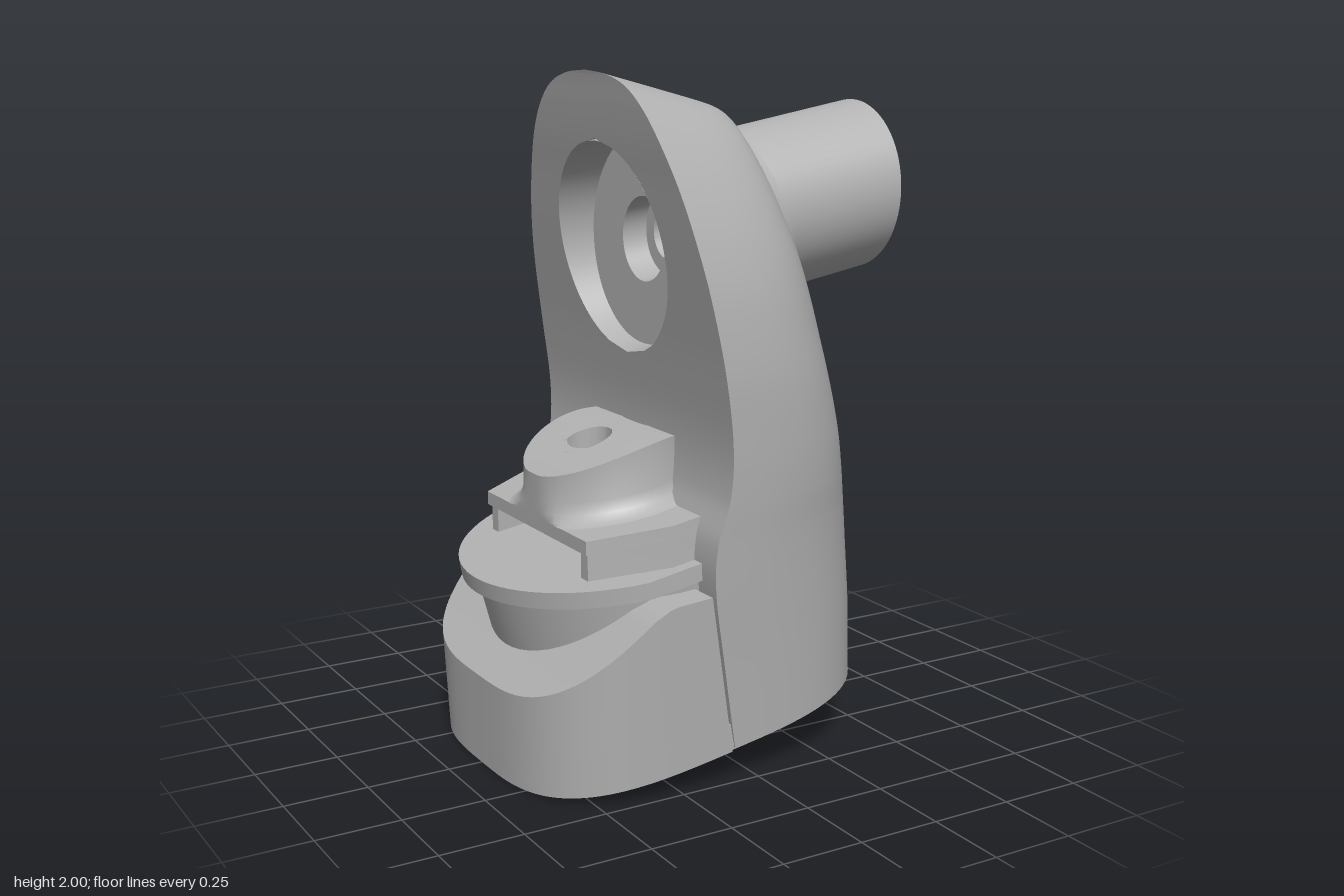
import * as THREE from 'three';
import { toCreasedNormals } from 'three/addons/utils/BufferGeometryUtils.js';

const TILT = 0.175; // slope of the base plane, flange and spindle axis
const baseY = (x) => 0.2 + (x - 0.505) * TILT;
const axisY = (x) => 1.64 + (x - 0.65) * TILT;
const faceX = (y) => -0.15 - 0.17 * (y - 1.2);
const spow = (v, e) => Math.sign(v) * Math.pow(Math.abs(v), e);
const BODY_E = 2 / 2.9, FOOT_E = 2 / 3.3; // roundness of the footprint halves

// Skin a list of equally long point rows
function loft(rows, crease = 0.6) {
  const n = rows[0].length, index = [];
  for (let i = 0; i < rows.length - 1; i++) {
    for (let j = 0; j < n - 1; j++) {
      const a = i * n + j, b = a + 1, c = a + n, d = c + 1;
      index.push(a, c, b, b, c, d);
    }
  }
  const geo = new THREE.BufferGeometry();
  geo.setAttribute('position', new THREE.Float32BufferAttribute(rows.flat(2), 3));
  geo.setIndex(index);
  return toCreasedNormals(geo, crease);
}

// Move every vertex by a rule
function warp(geo, rule) {
  const p = geo.attributes.position, v = new THREE.Vector3();
  for (let i = 0; i < p.count; i++) {
    v.fromBufferAttribute(p, i);
    rule(v);
    p.setXYZ(i, v.x, v.y, v.z);
  }
  return toCreasedNormals(geo, 0.6);
}

const points2 = (list) => list.map(([a, b]) => new THREE.Vector2(a, b));

export function createModel() {
  const group = new THREE.Group();
  const grey = new THREE.MeshStandardMaterial({ color: 0xb2b2b2, side: THREE.DoubleSide });
  grey.name = 'plain grey';
  const add = (name, geo) => {
    const mesh = new THREE.Mesh(geo, grey);
    mesh.name = name;
    group.add(mesh);
  };

  // Upright housing: [height at flat face, x of face, half width, height at rounded side, x of rounded side]
  const stations = [
    [0.1, -0.08, 0.5, 0.2, 0.505], [0.35, -0.125, 0.515, 0.42, 0.495],
    [0.58, -0.165, 0.53, 0.62, 0.475], [0.72, -0.165, 0.538, 0.74, 0.46],
    [0.85, -0.13, 0.545, 0.85, 0.44], [1.0, -0.125, 0.55, 0.98, 0.415],
    [1.2, -0.15, 0.55, 1.15, 0.37], [1.4, -0.184, 0.53, 1.31, 0.325],
    [1.55, -0.21, 0.495, 1.45, 0.275], [1.69, -0.233, 0.443, 1.58, 0.22],
    [1.81, -0.254, 0.378, 1.7, 0.172], [1.9, -0.267, 0.306, 1.795, 0.135],
    [1.96, -0.274, 0.222, 1.86, 0.113], [1.99, -0.278, 0.118, 1.89, 0.104],
    [2.0, -0.28, 0, 1.9, 0.1],
  ];
  const curve = (f) => new THREE.CatmullRomCurve3(stations.map(f), false, 'catmullrom');
  const faceCurve = curve((s) => new THREE.Vector3(s[1], s[0], s[2]));
  const sideCurve = curve((s) => new THREE.Vector3(s[4], s[3], 0));
  const shell = [], leftHalf = [], rightHalf = [];
  const ROWS = 140, SEG = 48, RECESS = 0.31, recessY = axisY(-0.2);
  for (let i = 0; i <= ROWS; i++) {
    const t = i / ROWS, f = faceCurve.getPoint(t), s = sideCurve.getPoint(t);
    const w = Math.max(f.z, 0), row = [];
    const e = 1 / (1 / BODY_E + 1.3 * THREE.MathUtils.smoothstep(t, 0.45, 0.9)); // boxier towards the top
    for (let j = 0; j <= SEG; j++) {
      const a = (j / SEG - 0.5) * Math.PI;
      const k = Math.pow(Math.max(Math.cos(a), 0), e);
      row.push([f.x + (s.x - f.x) * k, f.y + (s.y - f.y) * k, w * spow(Math.sin(a), e)]);
    }
    shell.push(row);
    // flat face is split around the round recess
    const h = Math.min(w, Math.sqrt(Math.max(0, RECESS ** 2 - (f.y - recessY) ** 2)));
    leftHalf.push([[f.x, f.y, h], [f.x, f.y, w]]);
    rightHalf.push([[f.x, f.y, -w], [f.x, f.y, -h]]);
  }
  add('housingShell', loft(shell));
  add('housingFaceLeft', loft(leftHalf));
  add('housingFaceRight', loft(rightHalf));

  // Spindle tube with through bore, counterbore and recess, sheared along its axis
  const profile = [
    [RECESS, -0.4], [RECESS, -0.09], [0.125, -0.09], [0.125, -0.01], [0.08, -0.01],
    [0.08, 0.65], [0.258, 0.65], [0.258, 0.15],
  ];
  const tube = new THREE.LatheGeometry(points2(profile), 64);
  tube.rotateZ(-Math.PI / 2);
  add('spindleTube', warp(tube, (v) => {
    const rim = v.x < -0.35;
    v.y += rim ? recessY : axisY(v.x);
    if (rim) v.x = faceX(v.y);
  }));

  // Blend between tube and housing, slanted to follow the housing
  const flare = [[0.258, 0.27], [0.262, 0.235], [0.274, 0.205], [0.292, 0.175], [0.305, 0.1]];
  const blend = new THREE.LatheGeometry(points2(flare), 64);
  blend.rotateZ(-Math.PI / 2);
  add('tubeBlend', warp(blend, (v) => {
    v.x -= v.y * 0.33 + 0.25 * v.z ** 2;
    v.y += axisY(v.x);
  }));

  // Foot: rounded block with a sloping top, leaning along the seam
  const ramp = [[-0.645, 0.275], [-0.3, 0.53], [-0.23, 0.565], [-0.09, 0.575]];
  const rampY = (x) => {
    const i = Math.max(1, ramp.findIndex((p) => p[0] >= x));
    const [x0, y0] = ramp[i - 1], [x1, y1] = ramp[i];
    return y0 + (y1 - y0) * (x - x0) / (x1 - x0);
  };
  const footRows = [];
  for (let i = 0; i <= 40; i++) {
    const a = (i / 40) * Math.PI / 2, k = Math.pow(Math.max(Math.cos(a), 0), FOOT_E);
    const x = -0.092 - 0.553 * k, w = 0.5 * Math.pow(Math.sin(a), FOOT_E);
    const lean = 0.035 + 0.14 * (1 - k);
    const at = (y, z) => [x - (y - baseY(x)) * lean, y, z * (1 + 0.1 * y)];
    footRows.push([at(baseY(x), -w), at(rampY(x), -w), at(rampY(x), w), at(baseY(x), w)]);
  }
  footRows.push(Array(4).fill([-0.13, 0.33, 0]));
  add('foot', loft(footRows, 0.5));

  // Base plate with a faceted well and curved slots
  const outline = [];
  for (let i = 0; i < 96; i++) {
    const a = (i / 96) * Math.PI * 2, right = Math.cos(a) > 0, e = right ? BODY_E : FOOT_E;
    outline.push(new THREE.Vector2(
      -0.08 + spow(Math.cos(a), e) * (right ? 0.58 : 0.555), 0.496 * spow(Math.sin(a), e)));
  }
  const CENTRE = -0.01;
  const slot = (r0, r1, a0, a1) => {
    const path = new THREE.Path();
    path.absarc(CENTRE, 0, r1, a0, a1, false);
    path.absarc(CENTRE, 0, r0, a1, a0, true);
    path.closePath();
    return path;
  };
  const plate = (depth, lift, holes) => {
    const shape = new THREE.Shape(outline);
    shape.holes.push(...holes);
    const geo = new THREE.ExtrudeGeometry(shape, { depth, bevelEnabled: false, curveSegments: 32 });
    geo.rotateX(Math.PI / 2);
    return warp(geo, (v) => { v.y += depth + lift + baseY(v.x); });
  };
  const well = new THREE.Path([...Array(8).keys()].map((i) => {
    const a = (i + 0.5) * Math.PI / 4;
    return new THREE.Vector2(CENTRE + 0.14 * Math.cos(a), 0.14 * Math.sin(a));
  }));
  add('basePlate', plate(0.07, 0, [
    well, slot(0.295, 0.315, 0.6, 2.5), slot(0.295, 0.315, 3.74, 5.64), slot(0.44, 0.465, 2.1, 4.18),
  ]));
  add('basePlateBacking', plate(0.01, 0.07, []));

  // Round column and flange, parallel to the base
  const tilted = (geo, x, y) => geo.rotateZ(Math.atan(TILT)).translate(x, y, 0);
  add('column', tilted(new THREE.CylinderGeometry(0.44, 0.41, 0.34, 64), -0.15, 0.45));
  const flange = new THREE.CylinderGeometry(0.49, 0.49, 0.05, 72);
  warp(flange, (v) => { v.z = THREE.MathUtils.clamp(v.z, -0.46, 0.46); });
  add('flange', tilted(flange, -0.17, 0.63));

  // Flat-fronted block on the flange: a lip carried by side walls, open below the lip
  const slab = (list, depth, top) => {
    const geo = new THREE.ExtrudeGeometry(new THREE.Shape(points2(list)), { depth, bevelEnabled: false });
    geo.rotateX(Math.PI / 2);
    return warp(geo, (v) => { v.y += top + (v.x + 0.46) * TILT; });
  };
  const sides = [[-0.24, -0.42], [0.1, -0.42], [0.1, 0.42], [-0.24, 0.42]];
  add('blockLip', slab([[-0.46, -0.32], ...sides, [-0.46, 0.32]], 0.04, 0.725));
  add('blockWalls', slab([
    [-0.45, -0.31], ...sides, [-0.45, 0.31], [-0.45, 0.27], [-0.36, 0.27], [-0.36, -0.27], [-0.45, -0.27],
  ], 0.08, 0.685));

  // Knob with a curved sloping top and a hole
  const knobProfile = [
    [0.001, 0.03], [0.075, 0.03], [0.075, 0.3], [0.12, 0.3], [0.18, 0.3], [0.25, 0.3],
    [0.25, 0.06], [0.262, 0.025], [0.285, 0.005], [0.3, 0],
  ];
  const knob = new THREE.LatheGeometry(points2(knobProfile), 56);
  add('knob', warp(knob, (v) => {
    const r = Math.hypot(v.x, v.z), top = v.y > 0.2;
    v.x = Math.max(v.x - 0.215 - (r < 0.1 ? 0.07 : 0), -0.462);
    if (top) v.y = 0.97 - 0.12 * Math.pow(Math.max(0, (-0.13 - v.x) / 0.335), 1.6);
    else v.y += 0.725 + (v.x + 0.46) * TILT;
  }));

  return group;
}
